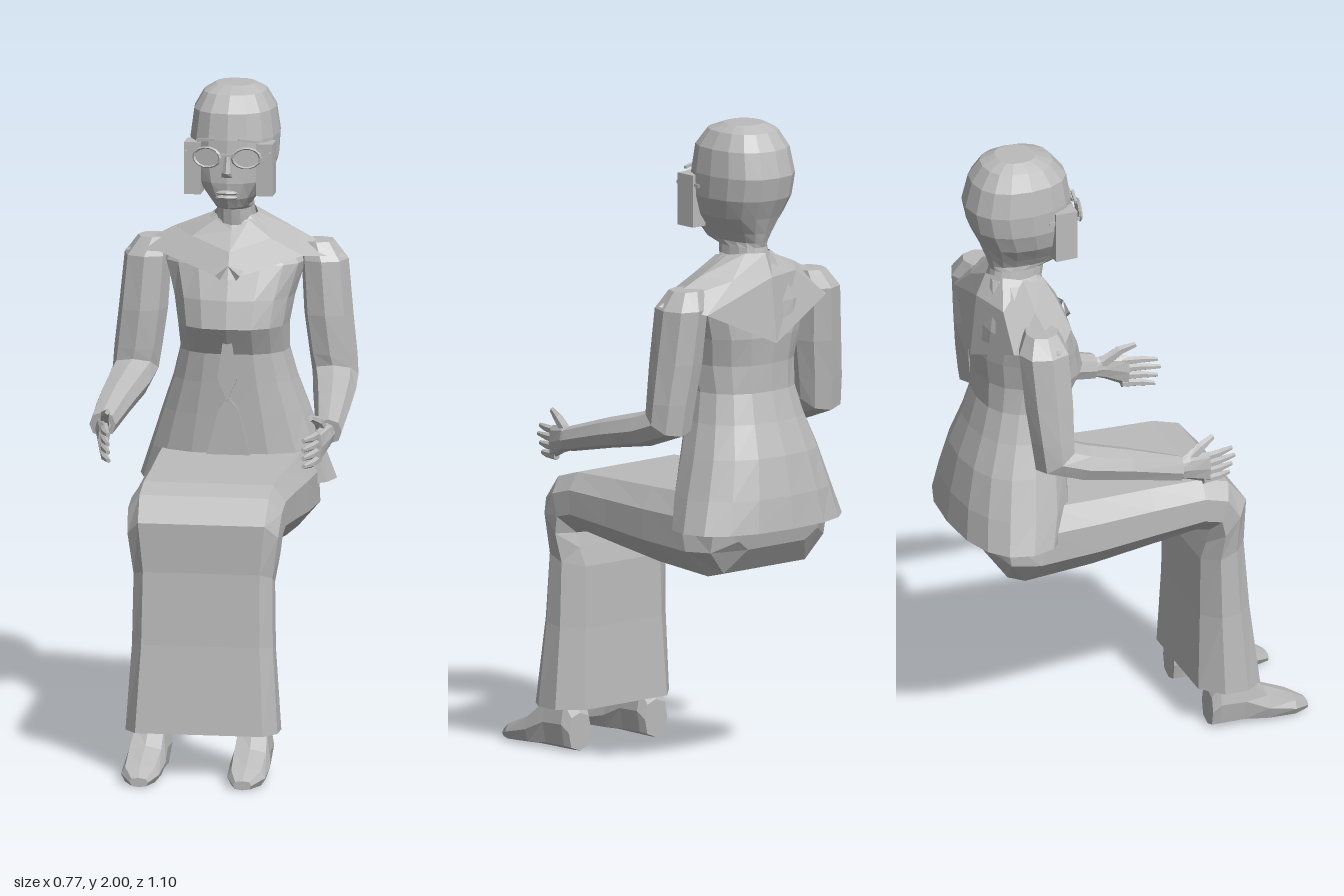
import * as THREE from 'three';

const grey = new THREE.MeshStandardMaterial({ color: 0xbbbbbb, flatShading: true, side: THREE.DoubleSide });
grey.name = 'clay grey';

// unit cross-sections: rounded (power < 1 is boxier) and the skirt's bevelled block
const oval = (n, power = 1) => Array.from({ length: n }, (_, i) => {
  const a = (i / n) * Math.PI * 2 + Math.PI / 2;
  const f = (v) => Math.sign(v) * Math.abs(v) ** power;
  return [f(Math.cos(a)), f(Math.sin(a))];
});
const block = [[0.84, 1], [1, 0.45], [1, -0.35], [0.72, -1], [-0.72, -1], [-1, -0.35], [-1, 0.45], [-0.84, 1]];

// skin cross-sections [x, y, z, halfWidth, vy, vz]; (0, vy, vz) is the section's second half axis
function loft(name, shape, sections, capped = true) {
  const n = shape.length, pos = [], idx = [];
  for (const [x, y, z, w, vy, vz] of sections)
    for (const [a, b] of shape) pos.push(x + a * w, y + b * vy, z + b * vz);
  for (let r = 0; r < sections.length - 1; r++)
    for (let i = 0; i < n; i++) {
      const a = r * n + i, b = r * n + (i + 1) % n;
      idx.push(a, b, a + n, b, b + n, a + n);
    }
  if (capped) {
    const last = (sections.length - 1) * n;
    for (let i = 1; i < n - 1; i++) idx.push(0, i + 1, i, last, last + i, last + i + 1);
  }
  // turn the faces outward
  let volume = 0;
  const p = (i) => new THREE.Vector3().fromArray(pos, i * 3).sub(new THREE.Vector3(...sections[0]));
  for (let i = 0; i < idx.length; i += 3) volume += p(idx[i]).dot(p(idx[i + 1]).cross(p(idx[i + 2])));
  if (volume < 0) idx.reverse();
  const g = new THREE.BufferGeometry();
  g.setAttribute('position', new THREE.Float32BufferAttribute(pos, 3));
  g.setIndex(idx);
  g.computeVertexNormals();
  return add(name, g);
}
function add(name, geometry, x = 0, y = 0, z = 0) {
  const m = new THREE.Mesh(geometry, grey);
  m.name = name;
  m.position.set(x, y, z);
  return m;
}
// level section from height, half width, front z and back z
const level = ([y, w, front, back]) => [0, y, (front + back) / 2, w, 0, (front - back) / 2];
// section from its front/top point and back/bottom point (y, z)
const span = ([w, y1, z1, y2, z2]) => [0, (y1 + y2) / 2, (z1 + z2) / 2, w, (y1 - y2) / 2, (z1 - z2) / 2];

function buildHead() {
  const head = new THREE.Group();
  head.name = 'head';
  head.add(loft('skull', oval(16, 0.85), [
    [2.0, 0.06, -0.27, -0.39], [1.98, 0.095, -0.215, -0.435], [1.93, 0.124, -0.175, -0.47],
    [1.85, 0.135, -0.162, -0.49], [1.78, 0.132, -0.158, -0.475], [1.72, 0.112, -0.155, -0.445],
    [1.67, 0.075, -0.162, -0.425], [1.64, 0.055, -0.18, -0.415], [1.625, 0.055, -0.24, -0.41],
    [1.57, 0.062, -0.25, -0.42],
  ].map(level)));
  // face
  head.add(loft('nose', oval(6), [
    [1.81, 0.008, -0.15, -0.18], [1.755, 0.016, -0.13, -0.18], [1.74, 0.02, -0.145, -0.18],
  ].map(level)));
  for (const y of [1.692, 1.678]) {
    const lip = add('lip', new THREE.SphereGeometry(1, 8, 4), 0, y, -0.155);
    lip.scale.set(0.035, 0.008, 0.012);
    head.add(lip);
  }
  for (const s of [1, -1]) {
    head.add(add('sideLock', new THREE.BoxGeometry(0.05, 0.16, 0.07), s * 0.11, 1.76, -0.215));
    // spectacles
    const lens = add('lens', new THREE.CylinderGeometry(0.04, 0.04, 0.005, 12).rotateX(Math.PI / 2), s * 0.06, 1.802, -0.15);
    const rim = add('spectacleRim', new THREE.TorusGeometry(0.042, 0.005, 4, 14), s * 0.06, 1.802, -0.147);
    for (const part of [lens, rim]) {
      part.scale.y = 0.72;
      part.rotation.y = s * 0.2;
      head.add(part);
    }
    const brow = add('eyebrow', new THREE.BoxGeometry(0.06, 0.008, 0.009), s * 0.065, 1.852, -0.163);
    brow.rotation.set(0, s * 0.2, -s * 0.12);
    head.add(brow);
    head.add(add('spectacleArm', new THREE.BoxGeometry(0.006, 0.01, 0.1), s * 0.128, 1.81, -0.22));
  }
  head.add(add('spectacleBridge', new THREE.BoxGeometry(0.03, 0.008, 0.01), 0, 1.81, -0.143));
  return head;
}

// shoulder cape: half outline [x, y, z] per ring, from centre front to centre back, mirrored
function buildCape() {
  const rings = [
    [[0, 1.56, -0.24], [0.05, 1.59, -0.26], [0.07, 1.6, -0.33], [0.05, 1.61, -0.39], [0, 1.61, -0.425]],
    [[0, 1.5, -0.2], [0.12, 1.54, -0.24], [0.19, 1.55, -0.34], [0.13, 1.54, -0.42], [0, 1.54, -0.455]],
    [[0, 1.42, -0.165], [0.22, 1.49, -0.235], [0.34, 1.475, -0.32], [0.24, 1.45, -0.43], [0, 1.34, -0.475]],
  ];
  const pos = [], idx = [], n = 8;
  for (const r of rings)
    for (const [x, y, z] of [...r, ...r.slice(1, 4).reverse().map(([x, y, z]) => [-x, y, z])]) pos.push(x, y, z);
  for (let r = 0; r < 2; r++)
    for (let i = 0; i < n; i++) {
      const a = r * n + i, b = r * n + (i + 1) % n;
      idx.push(a, a + n, b, b, a + n, b + n);
    }
  const g = new THREE.BufferGeometry();
  g.setAttribute('position', new THREE.Float32BufferAttribute(pos, 3));
  g.setIndex(idx);
  g.computeVertexNormals();
  return add('shoulderCape', g);
}

function buildArm(s) {
  const arm = new THREE.Group();
  arm.name = s > 0 ? 'leftArm' : 'rightArm';
  const side = (list) => list.map(([x, ...rest]) => [s * x, ...rest]);
  arm.add(loft('sleeve', oval(8, 0.85), side([
    [0.25, 1.52, -0.345, 0.05, 0, 0.05], [0.27, 1.465, -0.345, 0.072, 0, 0.08],
    [0.283, 1.3, -0.335, 0.075, 0, 0.077], [0.298, 1.18, -0.33, 0.073, 0, 0.068],
    [0.305, 1.115, -0.325, 0.07, 0.035, 0.06], [0.315, 1.085, -0.24, 0.066, 0.05, 0.02],
    [0.33, 1.055, -0.1, 0.055, 0.046, 0.008], [0.345, 1.013, 0.065, 0.04, 0.038, 0.005],
  ])));
  arm.add(loft('palm', oval(8), side([
    [0.343, 1.01, 0.05, 0.024, 0.028, 0], [0.34, 1.005, 0.1, 0.022, 0.04, 0], [0.325, 0.985, 0.17, 0.017, 0.052, 0],
  ])));
  // fingers fan out from the palm
  for (let i = 0; i < 4; i++) {
    const y = 1.02 - i * 0.025, end = 1.02 - i * 0.027;
    const reach = 0.265 - Math.abs(i - 1) * 0.009;
    arm.add(loft('finger', oval(6), side([
      [0.327, y, 0.15, 0.013, 0.014, 0], [0.315, (y + end) / 2, 0.21, 0.012, 0.012, 0], [0.298, end, reach, 0.007, 0.007, 0],
    ])));
  }
  arm.add(loft('thumb', oval(6), side([
    [0.335, 1.02, 0.09, 0.016, 0.02, -0.01], [0.325, 1.06, 0.145, 0.014, 0.014, -0.008], [0.31, 1.078, 0.19, 0.008, 0.009, -0.003],
  ])));
  return arm;
}

export function createModel() {
  const model = new THREE.Group();
  model.name = 'seatedWoman';
  model.add(buildHead(), buildCape());

  // flared jacket
  model.add(loft('jacket', oval(16, 0.85), [
    [0.78, 0.3, -0.225, -0.55], [0.88, 0.265, -0.195, -0.54], [1.0, 0.225, -0.19, -0.515],
    [1.1, 0.19, -0.185, -0.48], [1.19, 0.167, -0.18, -0.455], [1.275, 0.17, -0.13, -0.455],
    [1.36, 0.185, -0.15, -0.465], [1.46, 0.215, -0.195, -0.455], [1.54, 0.16, -0.235, -0.435],
    [1.6, 0.065, -0.26, -0.42],
  ].map(level), false));
  // thin placket hanging from the bust, and the opening above the lap
  const flap = new THREE.Shape([[-0.008, 1.27], [0.008, 1.27], [0.03, 1.12], [0, 1.05], [-0.03, 1.12]].map((p) => new THREE.Vector2(...p)));
  const placket = add('placket', new THREE.ExtrudeGeometry(flap, { depth: 0.006, bevelEnabled: false }), 0, 0, -0.165);
  const gap = new THREE.Shape([[-0.07, 0.87], [0.07, 0.87], [0.03, 1.02], [0, 1.06], [-0.03, 1.02]].map((p) => new THREE.Vector2(...p)));
  model.add(placket, add('jacketOpening', new THREE.ExtrudeGeometry(gap, { depth: 0.006, bevelEnabled: false }), 0, 0, -0.19));
  // bow at the neckline
  for (const s of [1, -1]) {
    const bow = add('bow', new THREE.ConeGeometry(0.02, 0.05, 4), s * 0.018, 1.45, -0.172);
    bow.rotation.z = s * 0.9;
    bow.scale.z = 0.4;
    model.add(bow);
  }

  // long skirt over seat, lap, knees and shins
  model.add(loft('skirt', block, [
    [0.16, 0.82, -0.5, 0.72, -0.475], [0.23, 0.87, -0.46, 0.645, -0.42], [0.255, 0.885, -0.3, 0.632, -0.37],
    [0.25, 0.88, -0.15, 0.645, -0.15], [0.24, 0.875, 0.03, 0.665, 0.03], [0.235, 0.87, 0.2, 0.685, 0.19],
    [0.235, 0.845, 0.285, 0.675, 0.235], [0.23, 0.77, 0.345, 0.63, 0.225], [0.212, 0.62, 0.343, 0.57, 0.213],
    [0.215, 0.4, 0.36, 0.38, 0.21], [0.232, 0.133, 0.39, 0.133, 0.2],
  ].map(span)));

  for (const s of [1, -1]) {
    model.add(buildArm(s));
    // pointed shoe with ankle
    model.add(loft(s > 0 ? 'leftShoe' : 'rightShoe', oval(8, 0.7), [
      [s * 0.155, 0.06, 0.235, 0.045, 0.058, 0], [s * 0.155, 0.085, 0.26, 0.055, 0.085, 0],
      [s * 0.157, 0.082, 0.34, 0.055, 0.082, 0], [s * 0.16, 0.05, 0.41, 0.062, 0.05, 0],
      [s * 0.162, 0.029, 0.5, 0.058, 0.029, 0], [s * 0.158, 0.014, 0.55, 0.028, 0.014, 0],
    ]));
  }
  return model;
}
